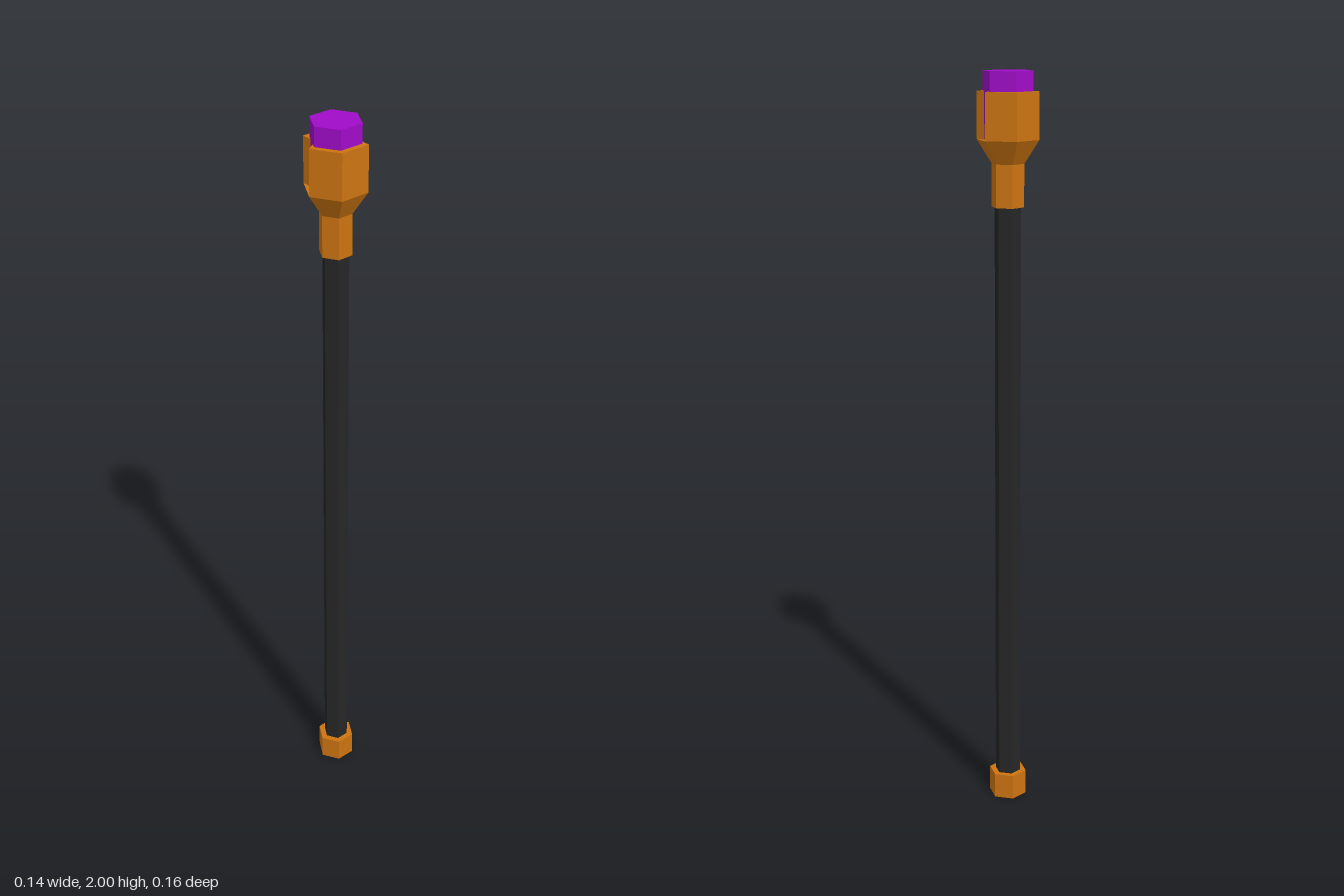
import * as THREE from 'three';

const gold = new THREE.MeshStandardMaterial({ name: 'gold', color: 0xcc7411 });
const dark = new THREE.MeshStandardMaterial({ name: 'darkShaft', color: 0x262626 });
const purple = new THREE.MeshStandardMaterial({ name: 'purpleGem', color: 0xa00cc8 });
for (const m of [gold, dark, purple]) m.flatShading = true;

const OUTER = 0.082; // head corner radius
const GEM = 0.066;   // gem corner radius
const C = Math.cos(Math.PI / 6);

export function createModel() {
  const group = new THREE.Group();
  group.name = 'staff';

  const add = (name, geometry, material) => {
    const mesh = new THREE.Mesh(geometry, material);
    mesh.name = name;
    group.add(mesh);
    return mesh;
  };

  // Six-sided section between two heights, with corners on the z axis
  const hex = (name, y0, y1, r0, r1, material) => {
    const mesh = add(name, new THREE.CylinderGeometry(r1, r0, y1 - y0, 6), material);
    mesh.position.y = (y0 + y1) / 2;
  };

  // Materials in order: side, top, bottom
  hex('footCap', 0, 0.07, 0.052, 0.052, [gold, gold, dark]);
  hex('shaft', 0.07, 1.66, 0.035, 0.035, dark);
  hex('collar', 1.66, 1.77, 0.043, 0.043, gold);
  hex('flare', 1.77, 1.83, 0.043, OUTER, gold);
  hex('gem', 1.83, 2, GEM, GEM, purple);

  // V-shaped prongs front and back, leaving a slot on each side of the gem
  const prong = new THREE.Shape([
    [-OUTER * C, -OUTER / 2], [-GEM * C, -0.017], [-GEM * C, -GEM / 2], [0, -GEM],
    [GEM * C, -GEM / 2], [GEM * C, -0.017], [OUTER * C, -OUTER / 2], [0, -OUTER],
  ].map(([x, y]) => new THREE.Vector2(x, y)));
  const prongGeometry = new THREE.ExtrudeGeometry(prong, { depth: 0.12, bevelEnabled: false });
  prongGeometry.rotateX(-Math.PI / 2);
  ['frontProng', 'backProng'].forEach((name, i) => {
    const mesh = add(name, prongGeometry, gold);
    mesh.position.y = 1.83;
    mesh.rotation.y = i * Math.PI;
  });

  return group;
}
